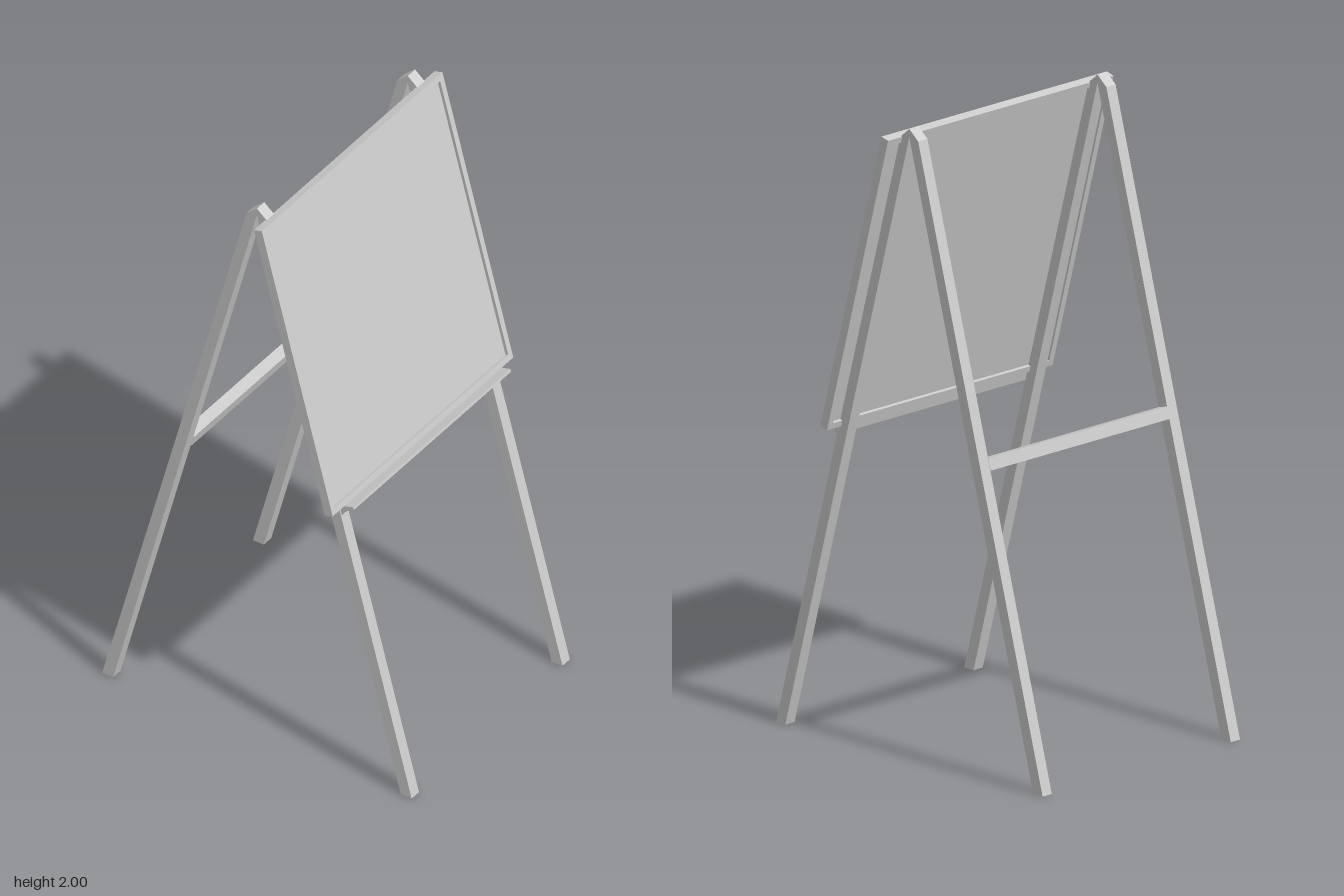
import * as THREE from 'three';

const TILT = Math.PI / 12;
const mat = new THREE.MeshStandardMaterial({ color: 0xcccccc, flatShading: true });

function add(parent, name, geometry, x = 0, y = 0, z = 0) {
  const mesh = new THREE.Mesh(geometry, mat);
  mesh.name = name;
  mesh.position.set(x, y, z);
  parent.add(mesh);
  return mesh;
}

// Extrudes a profile along z, centred on z = 0
function extrude(shape, depth, curveSegments = 6) {
  return new THREE.ExtrudeGeometry(shape, { depth, bevelEnabled: false, curveSegments }).translate(0, 0, -depth / 2);
}

export function createModel() {
  const group = new THREE.Group();

  // Two A-shaped side frames with a bevelled peak
  const half = [[0.529, 0], [0.569, 0], [0.038, 1.968]];
  const outline = [
    [0, 1.974], ...half, [0, 2],
    ...half.slice().reverse().map(([x, y]) => [-x, y]),
  ].map(([x, y]) => new THREE.Vector2(x, y));
  for (const side of [-1, 1]) {
    add(group, side > 0 ? 'leftLegFrame' : 'rightLegFrame',
      extrude(new THREE.Shape(outline), 0.04), 0, 0, side * 0.408);
  }

  // Crossbar joining the rear legs
  const bar = add(group, 'crossbar', new THREE.BoxGeometry(0.039, 0.039, 0.776), -0.284, 0.985, 0);
  bar.rotation.z = -TILT;

  // Leaning board: local y runs up the slope, local x points out of its face
  const board = new THREE.Group();
  board.name = 'board';
  board.position.set(0.291, 0.996, 0);
  board.rotation.z = TILT;
  group.add(board);

  const W = 0.978, H = 1.007, T = 0.03, RAIL = 0.02;
  for (const end of [0, 1]) {
    add(board, end ? 'topRail' : 'bottomRail', new THREE.BoxGeometry(T, RAIL, W),
      T / 2, end ? H - RAIL / 2 : RAIL / 2, 0);
    add(board, end ? 'leftStile' : 'rightStile', new THREE.BoxGeometry(T, H - 2 * RAIL, RAIL),
      T / 2, H / 2, (end ? 1 : -1) * (W - RAIL) / 2);
  }
  add(board, 'panel', new THREE.BoxGeometry(0.009, H - 2 * RAIL, W - 2 * RAIL), T / 2, H / 2, 0);

  // Coved ledge under the board
  const ledge = new THREE.Shape();
  ledge.moveTo(0.0116, 0);
  ledge.lineTo(0.0116, -0.034);
  ledge.quadraticCurveTo(0.034, -0.012, 0.064, -0.009);
  ledge.lineTo(0.064, 0);
  add(board, 'ledge', extrude(ledge, 0.852));

  return group;
}
